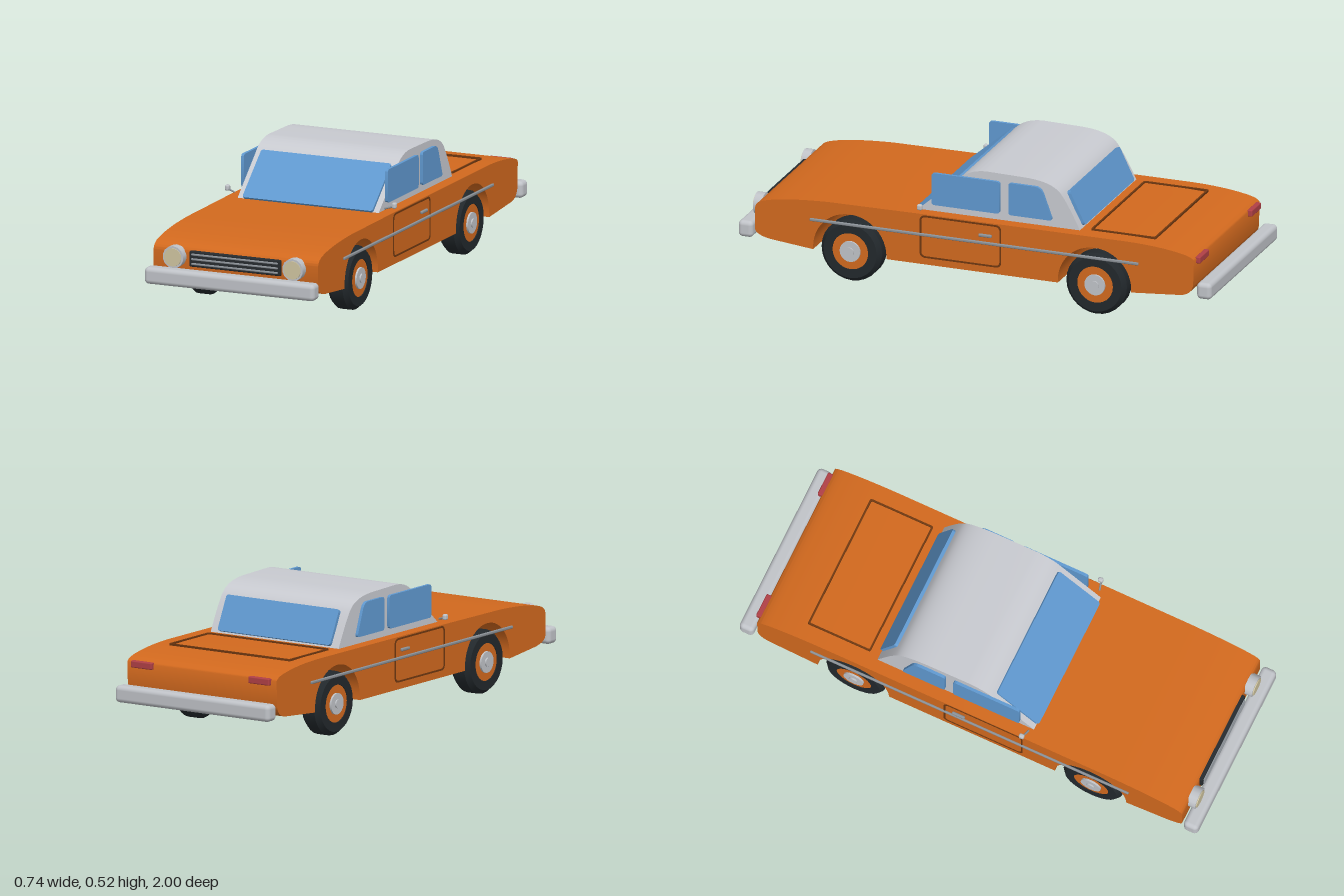
import * as THREE from 'three';
import { toCreasedNormals } from 'three/addons/utils/BufferGeometryUtils.js';
import { RoundedBoxGeometry } from 'three/addons/geometries/RoundedBoxGeometry.js';

function mat(name, color) {
  const m = new THREE.MeshStandardMaterial({ color });
  m.name = name;
  return m;
}

export function createModel() {
  const car = new THREE.Group();
  car.name = 'car';
  const paint = mat('orange paint', 0xd2691e);
  const seam = mat('dark seam', 0x703810);
  const roofGrey = mat('roof grey', 0xc8cad0);
  const chrome = mat('chrome', 0xc0c3c8);
  const trimGrey = mat('trim grey', 0x8b9197);
  const glass = mat('blue glass', 0x6099d0);
  const rubber = mat('tyre rubber', 0x22282c);
  const black = mat('grille black', 0x262b2f);
  const lens = mat('lamp lens', 0xd0c5a0);
  const red = mat('tail red', 0xb04046);

  function add(name, geo, material, x = 0, y = 0, z = 0, parent = car) {
    const m = new THREE.Mesh(geo, material);
    m.name = name;
    m.position.set(x, y, z);
    parent.add(m);
    return m;
  }

  // Extrudes a shape by depth, centred on its own plane
  function slab(shape, depth, curveSegments = 12) {
    const g = new THREE.ExtrudeGeometry(shape, { depth, bevelEnabled: false, curveSegments });
    g.translate(0, 0, -depth / 2);
    return toCreasedNormals(g, 0.6);
  }
  // Side profile drawn as (z, y), given thickness along x
  const sideSlab = (shape, depth) => slab(shape, depth).rotateY(-Math.PI / 2);

  function roundRect(w, h, r, Type = THREE.Shape) {
    const s = new Type(), a = w / 2, b = h / 2;
    s.moveTo(-a + r, -b);
    s.lineTo(a - r, -b).quadraticCurveTo(a, -b, a, -b + r);
    s.lineTo(a, b - r).quadraticCurveTo(a, b, a - r, b);
    s.lineTo(-a + r, b).quadraticCurveTo(-a, b, -a, b - r);
    s.lineTo(-a, -b + r).quadraticCurveTo(-a, -b, -a + r, -b);
    return s;
  }
  // Thin rounded outline used for panel gaps
  function outline(w, h, r) {
    const s = roundRect(w, h, r);
    s.holes.push(roundRect(w - 0.014, h - 0.014, r * 0.8, THREE.Path));
    return s;
  }

  // Body with wheel arches cut right through
  const axles = [0.53, -0.505];
  const body = new THREE.Shape();
  body.moveTo(-0.66, 0.118);
  body.lineTo(-0.86, 0.135);
  body.quadraticCurveTo(-0.92, 0.14, -0.922, 0.19);
  body.lineTo(-0.925, 0.285);
  body.quadraticCurveTo(-0.92, 0.302, -0.86, 0.312);
  body.quadraticCurveTo(-0.76, 0.33, -0.62, 0.33);
  body.lineTo(0.25, 0.328);
  body.lineTo(0.62, 0.325);
  body.quadraticCurveTo(0.82, 0.318, 0.9, 0.292);
  body.quadraticCurveTo(0.93, 0.28, 0.93, 0.26);
  body.lineTo(0.93, 0.17);
  body.quadraticCurveTo(0.925, 0.145, 0.86, 0.136);
  body.lineTo(0.685, 0.118);
  for (const z of axles) {
    body.lineTo(z + 0.155, 0.118);
    body.absarc(z, 0.13, 0.155, 0, Math.PI, false);
    body.lineTo(z - 0.155, 0.118);
  }
  add('body', sideSlab(body, 0.716), paint);

  // Cabin
  const cabin = new THREE.Shape();
  cabin.moveTo(0.268, 0.32);
  cabin.lineTo(0.075, 0.49);
  cabin.quadraticCurveTo(0.035, 0.522, -0.03, 0.524);
  cabin.lineTo(-0.18, 0.521);
  cabin.quadraticCurveTo(-0.3, 0.52, -0.34, 0.475);
  cabin.quadraticCurveTo(-0.37, 0.44, -0.428, 0.32);
  add('cabin', sideSlab(cabin, 0.614), roofGrey);

  // Windscreen and rear window, laid on the cabin slopes
  function pane(name, w, z0, y0, z1, y1) {
    const h = Math.hypot(z1 - z0, y1 - y0);
    const m = add(name, slab(roundRect(w, h, 0.012), 0.014), glass, 0, (y0 + y1) / 2, (z0 + z1) / 2);
    m.rotation.x = Math.atan2(z1 - z0, y1 - y0);
  }
  pane('windscreen', 0.566, 0.264, 0.33, 0.084, 0.484);
  pane('rearWindow', 0.54, -0.425, 0.338, -0.36, 0.472);

  // Quarter window, tapering to the rear
  const quarter = new THREE.Shape();
  quarter.moveTo(-0.137, 0.358);
  quarter.lineTo(-0.3, 0.358);
  quarter.quadraticCurveTo(-0.312, 0.36, -0.305, 0.375);
  quarter.lineTo(-0.272, 0.465);
  quarter.quadraticCurveTo(-0.262, 0.49, -0.24, 0.492);
  quarter.lineTo(-0.137, 0.492);
  quarter.quadraticCurveTo(-0.125, 0.492, -0.125, 0.48);
  quarter.lineTo(-0.125, 0.37);
  quarter.quadraticCurveTo(-0.125, 0.358, -0.137, 0.358);

  // Wheel pieces
  const tyreGeo = toCreasedNormals(new THREE.LatheGeometry([
    [0.076, -0.045], [0.112, -0.045], [0.128, -0.026], [0.128, 0.026],
    [0.112, 0.045], [0.076, 0.045], [0.076, -0.045],
  ].map(([r, a]) => new THREE.Vector2(r, -a)).reverse(), 28), 0.5).rotateZ(Math.PI / 2);
  const disc = (r, w, n = 24) => new THREE.CylinderGeometry(r, r, w, n).rotateZ(Math.PI / 2);

  for (const s of [1, -1]) {
    const side = s > 0 ? 'left' : 'right';
    // Side glass
    add(side + 'DoorWindow', sideSlab(roundRect(0.288, 0.134, 0.014), 0.012), glass, s * 0.313, 0.424, 0.056);
    add(side + 'QuarterWindow', sideSlab(quarter, 0.012), glass, s * 0.313);

    // Door gap, handle and waist trim
    add(side + 'DoorSeam', sideSlab(outline(0.345, 0.178, 0.025), 0.004), seam, s * 0.358, 0.235, 0.062);
    add(side + 'DoorHandle', new RoundedBoxGeometry(0.012, 0.013, 0.056, 2, 0.005), trimGrey, s * 0.363, 0.275, -0.044);
    add(side + 'WaistTrim', new RoundedBoxGeometry(0.01, 0.012, 1.39, 2, 0.004), trimGrey, s * 0.361, 0.243, 0.003);

    // Door mirror
    const stem = new THREE.LineCurve3(new THREE.Vector3(s * 0.325, 0.345, 0.245), new THREE.Vector3(s * 0.362, 0.355, 0.235));
    add(side + 'MirrorStem', new THREE.TubeGeometry(stem, 1, 0.004, 8), trimGrey);
    add(side + 'Mirror', new RoundedBoxGeometry(0.018, 0.024, 0.022, 3, 0.007), chrome, s * 0.363, 0.358, 0.232);

    // Headlamp
    add(side + 'HeadlampRing', new THREE.CylinderGeometry(0.045, 0.045, 0.036, 14).rotateX(Math.PI / 2), chrome, s * 0.26, 0.243, 0.942);
    add(side + 'HeadlampLens', new THREE.CylinderGeometry(0.037, 0.037, 0.008, 14).rotateX(Math.PI / 2), lens, s * 0.26, 0.243, 0.96);

    // Tail lamp
    add(side + 'TailLamp', new RoundedBoxGeometry(0.1, 0.028, 0.022, 2, 0.005), red, s * 0.282, 0.281, -0.931);

    // Wheels
    axles.forEach((z, i) => {
      const wheel = new THREE.Group();
      wheel.name = side + (i ? 'RearWheel' : 'FrontWheel');
      wheel.position.set(s * 0.309, 0.128, z);
      car.add(wheel);
      add('tyre', tyreGeo, rubber, 0, 0, 0, wheel);
      add('rim', disc(0.077, 0.082), paint, 0, 0, 0, wheel);
      add('hubCap', disc(0.043, 0.098), chrome, 0, 0, 0, wheel);
      add('hubNut', disc(0.018, 0.11, 12), chrome, 0, 0, 0, wheel);
    });
  }

  // Boot lid gap
  add('bootSeam', slab(outline(0.58, 0.274, 0.008), 0.008).rotateX(-Math.PI / 2), seam, 0, 0.332, -0.6);

  // Bumpers
  add('frontBumper', new RoundedBoxGeometry(0.74, 0.068, 0.062, 4, 0.018), chrome, 0, 0.166, 0.969);
  add('rearBumper', new RoundedBoxGeometry(0.74, 0.068, 0.062, 4, 0.018), chrome, 0, 0.166, -0.969);

  // Grille with three bars
  add('grille', new RoundedBoxGeometry(0.396, 0.064, 0.02, 2, 0.005), black, 0, 0.239, 0.932);
  for (const y of [0.22, 0.239, 0.258]) {
    add('grilleBar', new RoundedBoxGeometry(0.376, 0.008, 0.01, 2, 0.003), trimGrey, 0, y, 0.942);
  }
  return car;
}
